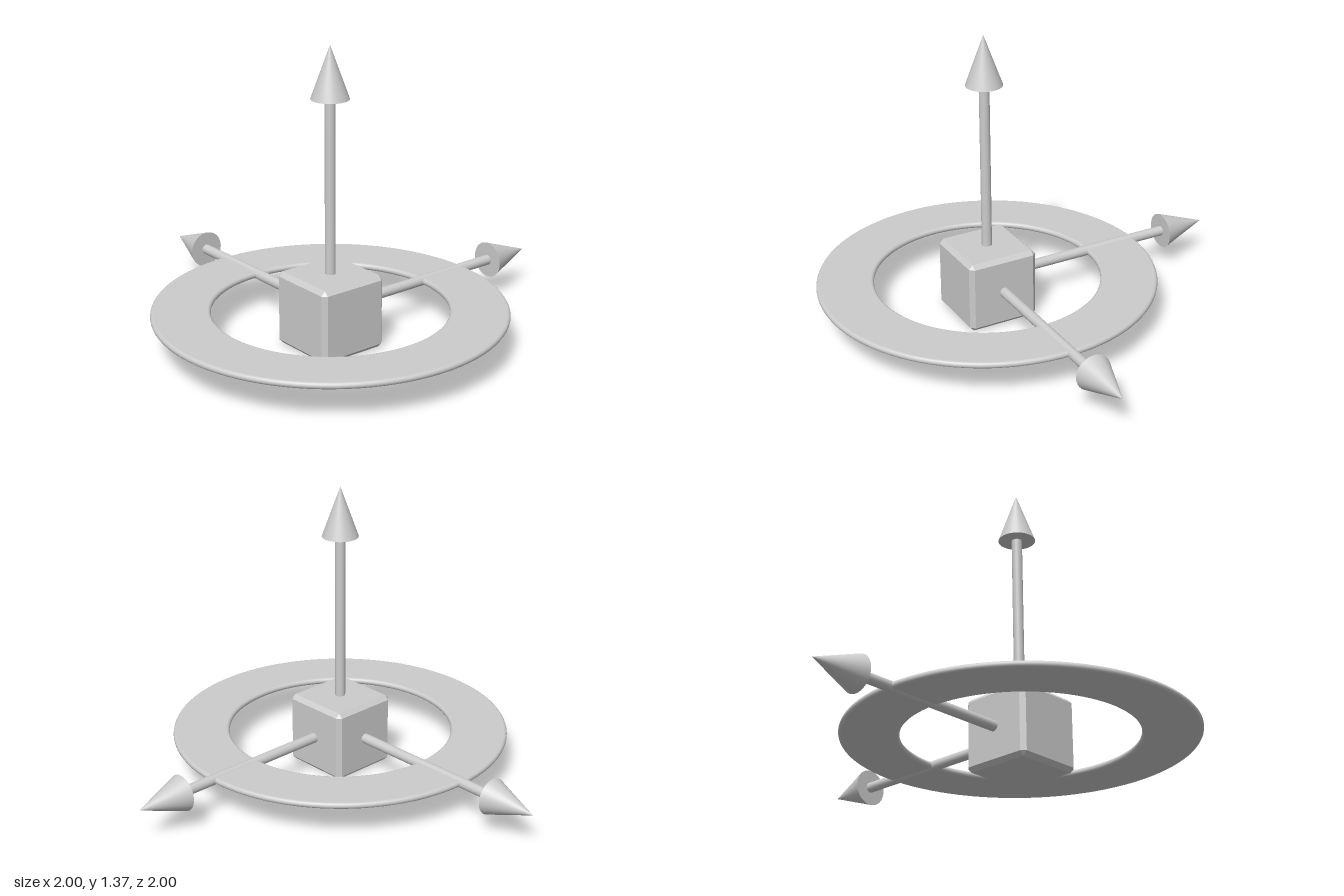
import * as THREE from 'three';
import { ConvexGeometry } from 'three/addons/geometries/ConvexGeometry.js';

const HALF = 0.171;      // half size of the cube
const BEVEL = 0.02;
const REACH = 1.203;     // centre to arrow tip
const HEAD = 0.236;      // arrowhead length
const RING_OUTER = 0.797, RING_INNER = 0.53, RING_HALF = 0.015;

const material = new THREE.MeshStandardMaterial({ color: 0xcccccc });

function part(name, geometry) {
  const mesh = new THREE.Mesh(geometry, material);
  mesh.name = name;
  return mesh;
}

// Cube with flat chamfers: three corner points per corner
function chamferedCube() {
  const points = [];
  const inner = HALF - BEVEL;
  for (const x of [-1, 1]) for (const y of [-1, 1]) for (const z of [-1, 1]) {
    points.push(
      new THREE.Vector3(x * HALF, y * inner, z * inner),
      new THREE.Vector3(x * inner, y * HALF, z * inner),
      new THREE.Vector3(x * inner, y * inner, z * HALF));
  }
  return new ConvexGeometry(points);
}

// Thin flat ring with rounded rims
function flatRing() {
  const r = RING_HALF;
  const middle = (RING_OUTER + RING_INNER) / 2;
  const profile = [new THREE.Vector2(middle, -r)];
  const rim = (x, from) => {
    for (let i = 0; i <= 8; i++) {
      const a = from + (i / 8) * Math.PI;
      profile.push(new THREE.Vector2(x + r * Math.cos(a), r * Math.sin(a)));
    }
  };
  rim(RING_OUTER - r, -Math.PI / 2);
  profile.push(new THREE.Vector2(middle, r));
  rim(RING_INNER + r, Math.PI / 2);
  profile.push(new THREE.Vector2(middle, -r));
  return new THREE.LatheGeometry(profile, 96);
}

// Arrow along +y, starting inside the cube
function arrow(name) {
  const group = new THREE.Group();
  group.name = name;
  const start = HALF - 0.03, end = REACH - HEAD;
  const shaft = part('shaft', new THREE.CylinderGeometry(0.024, 0.024, end - start, 24));
  shaft.position.y = (start + end) / 2;
  const head = part('arrowhead', new THREE.ConeGeometry(0.085, HEAD, 40));
  head.position.y = REACH - HEAD / 2;
  group.add(shaft, head);
  return group;
}

export function createModel() {
  const model = new THREE.Group();
  model.name = 'axisMarker';

  const up = arrow('upArrow');
  const side = arrow('sideArrow');
  side.rotation.z = -Math.PI / 2;
  const back = arrow('backArrow');
  back.rotation.x = -Math.PI / 2;

  const hub = new THREE.Group();
  hub.name = 'hub';
  hub.add(part('cube', chamferedCube()), part('ring', flatRing()), up, side, back);
  hub.position.set(RING_OUTER - 1, HALF, 1 - RING_OUTER);
  model.add(hub);
  return model;
}
